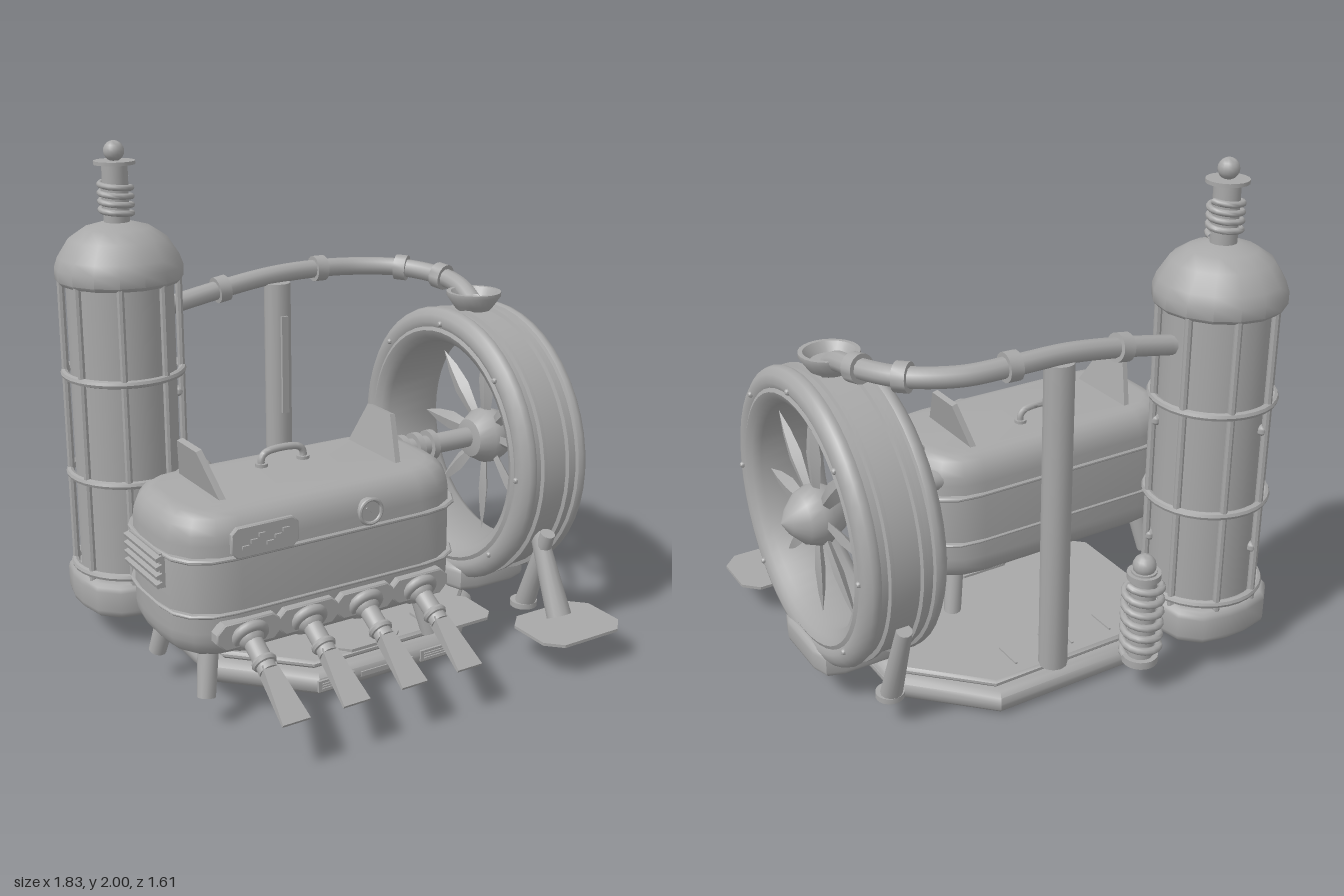
import * as THREE from 'three';
import { toCreasedNormals } from 'three/addons/utils/BufferGeometryUtils.js';

const V = (x, y, z) => new THREE.Vector3(x, y, z);

export function createModel() {
  const root = new THREE.Group();
  const grey = new THREE.MeshStandardMaterial({ color: 0xa8a8a8 });
  grey.name = 'plain grey';

  const add = (name, geo, x = 0, y = 0, z = 0, parent = root) => {
    const m = new THREE.Mesh(toCreasedNormals(geo, 0.75), grey);
    m.name = name;
    m.position.set(x, y, z);
    parent.add(m);
    return m;
  };
  const box = (name, w, h, d, x, y, z, p) => add(name, new THREE.BoxGeometry(w, h, d), x, y, z, p);
  const ball = (name, r, x, y, z, p) => add(name, new THREE.SphereGeometry(r, 16, 10), x, y, z, p);
  const cyl = (name, r, h, x, y, z, n = 20, p) => add(name, new THREE.CylinderGeometry(r, r, h, n), x, y, z, p);
  const ring = (name, r, t, x, y, z, p) => {
    const m = add(name, new THREE.TorusGeometry(r, t, 8, 32), x, y, z, p);
    m.rotation.x = Math.PI / 2;
    return m;
  };
  // Straight rod from a to b
  const rod = (name, a, b, r1, r2 = r1, n = 12) => {
    const m = add(name, new THREE.CylinderGeometry(r2, r1, a.distanceTo(b), n));
    m.position.copy(a).lerp(b, 0.5);
    m.quaternion.setFromUnitVectors(V(0, 1, 0), b.clone().sub(a).normalize());
    return m;
  };
  const tube = (name, pts, r, n = 48) =>
    add(name, new THREE.TubeGeometry(new THREE.CatmullRomCurve3(pts), n, r, 10));
  // Rounded or chamfered slab; its bottom rests at y
  const slab = (name, w, d, h, corner, bevel, x, y, z, { seg = 1, bt = bevel, bs = 3 } = {}) => {
    const a = w / 2 - bevel, b = d / 2 - bevel, c = corner, s = new THREE.Shape();
    s.moveTo(-a + c, -b).lineTo(a - c, -b);
    s.quadraticCurveTo(a, -b, a, -b + c).lineTo(a, b - c);
    s.quadraticCurveTo(a, b, a - c, b).lineTo(-a + c, b);
    s.quadraticCurveTo(-a, b, -a, b - c).lineTo(-a, -b + c);
    s.quadraticCurveTo(-a, -b, -a + c, -b);
    const g = new THREE.ExtrudeGeometry(s, {
      depth: h - 2 * bt, curveSegments: seg, bevelEnabled: bevel > 0,
      bevelSize: bevel, bevelThickness: bt, bevelSegments: bs,
    });
    g.rotateX(-Math.PI / 2).translate(0, bt, 0);
    return add(name, g, x, y, z);
  };
  const coil = (name, r, t, y0, y1, turns, x, z) => {
    const pts = [];
    for (let i = 0; i <= turns * 12; i++) {
      const a = (i / 12) * Math.PI * 2;
      pts.push(V(x + r * Math.cos(a), y0 + (y1 - y0) * i / (turns * 12), z + r * Math.sin(a)));
    }
    return tube(name, pts, t, turns * 16);
  };

  // Platform
  slab('platform', 1.23, 1.01, 0.1, 0.27, 0.045, 0, 0, -0.095);
  slab('platformTop', 1.14, 0.92, 0.03, 0.25, 0.01, 0, 0.1, -0.095, { bs: 1 });
  slab('floorPlate', 0.28, 0.24, 0.012, 0.04, 0, 0.36, 0.128, 0.3);
  slab('floorPlate', 0.28, 0.24, 0.012, 0.04, 0, -0.05, 0.128, 0.25);
  for (const x of [-0.245, 0.22]) {
    box('platformVent', 0.16, 0.045, 0.01, x, 0.05, 0.41);
    for (const y of [0.04, 0.05, 0.06]) box('ventSlat', 0.13, 0.005, 0.008, x, y, 0.416);
  }
  box('platformTrim', 0.24, 0.02, 0.008, -0.015, 0.05, 0.41);
  box('platformTrim', 0.008, 0.015, 0.38, 0.614, 0.05, -0.09);
  for (const x of [-0.16, 0.1]) for (const s of [-1, 1]) {
    box('floorRail', 0.008, 0.008, 0.12, x + s * 0.09, 0.133, -0.44);
  }

  // Tall tank with cage, cap and finial
  const tx = -0.64, tz = -0.56;
  slab('tankBase', 0.49, 0.49, 0.15, 0.17, 0.035, tx, 0.13, tz, { seg: 3 });
  cyl('tankBody', 0.21, 1.24, tx, 0.87, tz, 24);
  for (let i = 0; i < 8; i++) {
    const a = (i + 0.5) * Math.PI / 4;
    cyl('cageRod', 0.015, 1.24, tx + 0.228 * Math.cos(a), 0.87, tz + 0.228 * Math.sin(a), 8);
  }
  for (const y of [0.3, 0.69, 1.1]) ring('cageRing', 0.232, 0.016, tx, y, tz);
  for (const y of [0.5, 1.0]) {
    ball('tankStud', 0.022, tx + 0.2, y, tz + 0.08);
    ball('tankStud', 0.022, tx - 0.08, y, tz - 0.2);
  }
  const cap = [[0, 1.46], [0.235, 1.46], [0.249, 1.475], [0.249, 1.52], [0.235, 1.56], [0.19, 1.63], [0.13, 1.67], [0.06, 1.69], [0, 1.695]];
  add('tankCap', new THREE.LatheGeometry(cap.map(p => new THREE.Vector2(...p)), 16), tx, 0, tz);
  cyl('finialStem', 0.05, 0.24, tx, 1.8, tz);
  coil('finialCoil', 0.06, 0.012, 1.72, 1.85, 4, tx, tz);
  cyl('finialPlate', 0.08, 0.014, tx, 1.917, tz);
  ball('finialBall', 0.04, tx, 1.96, tz);

  // Spring post behind the platform
  const sx = -0.23, sz = -0.72;
  cyl('springRod', 0.05, 0.4, sx, 0.33, sz);
  cyl('springFoot', 0.07, 0.03, sx, 0.145, sz);
  coil('spring', 0.07, 0.015, 0.17, 0.48, 6, sx, sz);
  cyl('springPlate', 0.065, 0.025, sx, 0.51, sz);
  ball('springBall', 0.045, sx, 0.55, sz);

  // Upright post
  cyl('post', 0.056, 1.25, 0.06, 0.75, -0.555, 12);
  box('postStrip', 0.03, 0.42, 0.02, 0.06, 1.03, -0.5);

  // Engine body with seams
  const ex = -0.278, ez = 0.163;
  slab('engineBody', 1.21, 0.58, 0.55, 0.15, 0.085, ex, 0.28, ez, { seg: 4, bt: 0.11, bs: 5 });
  slab('upperSeam', 1.226, 0.596, 0.018, 0.2, 0.006, ex, 0.66, ez, { seg: 4, bs: 1 });
  slab('lowerSeam', 1.222, 0.592, 0.014, 0.2, 0.005, ex, 0.455, ez, { seg: 4, bs: 1 });
  // Leaning fins on top of the engine
  for (const s of [-1, 1]) {
    const f = new THREE.Shape([[-0.17, 0], [0.17, 0], [0.065, 0.175], [-0.09, 0.175]].map(p => new THREE.Vector2(...p)));
    const g = new THREE.ExtrudeGeometry(f, { depth: 0.024, bevelEnabled: false });
    g.translate(0, 0, -0.012).rotateY(-Math.PI / 2);
    const m = add('engineFin', g, ex + s * 0.37, 0.82, 0.14);
    m.rotation.z = -s * 0.24;
  }
  // Handle
  const hx = -0.275, hz = 0.068;
  tube('handle', [V(hx - 0.09, 0.82, hz), V(hx - 0.09, 0.86, hz), V(hx - 0.07, 0.882, hz), V(hx + 0.07, 0.882, hz), V(hx + 0.09, 0.86, hz), V(hx + 0.09, 0.82, hz)], 0.014);
  for (const s of [-1, 1]) cyl('handleFoot', 0.025, 0.015, hx + s * 0.09, 0.835, hz, 12);
  // Control panel and gauge
  slab('controlPanel', 0.265, 0.115, 0.02, 0.02, 0.004, -0.57, 0.728, 0.45, { bs: 1 }).rotation.x = Math.PI / 2;
  for (let i = 0; i < 6; i++) box('panelKey', 0.026, 0.014, 0.012, -0.65 + 0.032 * i, 0.71 + (i % 3) * 0.018, 0.471);
  cyl('gaugeFace', 0.046, 0.03, -0.135, 0.735, 0.455).rotation.x = Math.PI / 2;
  add('gaugeRim', new THREE.TorusGeometry(0.046, 0.008, 8, 28), -0.135, 0.735, 0.47);
  box('gaugeNeedle', 0.04, 0.006, 0.006, -0.14, 0.74, 0.472).rotation.z = -0.7;
  // Side vent
  box('sideVent', 0.02, 0.13, 0.26, -0.885, 0.61, ez);
  for (let i = 0; i < 4; i++) box('sideVentSlat', 0.025, 0.016, 0.28, -0.9, 0.56 + i * 0.033, ez).rotation.z = 0.3;
  // Engine legs
  for (const s of [-1, 1]) for (const z of [0.32, 0.0]) {
    rod('engineLeg', V(ex + s * 0.49, 0.12, z + (z > 0.1 ? 0.05 : -0.05)), V(ex + s * 0.45, 0.34, z), 0.034, 0.04);
  }

  // Four flared nozzles
  for (const x of [-0.643, -0.402, -0.16, 0.083]) {
    slab('nozzleBracket', 0.26, 0.1, 0.05, 0.03, 0.005, x, 0.39, 0.43, { bs: 1 }).rotation.x = Math.PI / 2;
    const n = new THREE.Group();
    n.name = 'nozzle';
    n.position.set(x, 0.385, 0.455);
    n.rotation.x = 0.51;
    root.add(n);
    add('nozzleFlange', new THREE.TorusGeometry(0.055, 0.02, 10, 28), 0, 0, 0.02, n);
    cyl('nozzleNeck', 0.036, 0.2, 0, 0, 0.08, 16, n).rotation.x = Math.PI / 2;
    ball('nozzleSocket', 0.052, 0, 0, 0.02, n);
    add('nozzleCollar', new THREE.TorusGeometry(0.032, 0.015, 8, 20), 0, 0, 0.14, n);
    const g = new THREE.BoxGeometry(1, 1, 0.23), p = g.attributes.position;
    for (let i = 0; i < p.count; i++) {
      const end = p.getZ(i) > 0;
      p.setXY(i, p.getX(i) * (end ? 0.108 : 0.055), p.getY(i) * (end ? 0.012 : 0.055));
    }
    add('nozzleFlare', g, 0, 0, 0.28, n);
  }

  // Ducted fan: ring housing turned about the x axis
  const fx = 0.688, fy = 0.73, fz = -0.028;
  const half = [[0.43, -0.12], [0.45, -0.15], [0.48, -0.165], [0.495, -0.158], [0.515, -0.168], [0.545, -0.16], [0.568, -0.14], [0.574, -0.12], [0.568, -0.105], [0.555, -0.1], [0.555, -0.075], [0.57, -0.07], [0.57, -0.055], [0.555, -0.05]];
  const prof = [...half, ...half.map(([r, h]) => [r, -h]).reverse(), half[0]];
  const duct = new THREE.LatheGeometry(prof.map(p => new THREE.Vector2(...p)), 48).rotateZ(-Math.PI / 2);
  add('fanDuct', duct, fx, fy, fz);
  for (let i = 0; i < 8; i++) {
    const a = (i + 0.5) * Math.PI / 4;
    for (const s of [-1, 1]) ball('ductRivet', 0.012, fx + s * 0.166, fy + 0.515 * Math.sin(a - 0.39), fz + 0.515 * Math.cos(a - 0.39));
  }
  const lens = [[0, 0.07], [0.024, 0.1], [0.04, 0.24], [0.026, 0.34], [0, 0.43]].map(p => new THREE.Vector2(...p));
  for (let i = 0; i < 8; i++) {
    const g = new THREE.LatheGeometry(lens, 4).scale(0.5, 1, 1);
    g.rotateY(0.3).rotateX(i * Math.PI / 4);
    add('fanBlade', g, 0.77, fy, fz);
  }
  const hub = [[0, -0.12], [0.08, -0.1], [0.115, -0.04], [0.118, 0], [0.1, 0.05], [0.05, 0.1], [0, 0.13]];
  add('fanHub', new THREE.LatheGeometry(hub.map(p => new THREE.Vector2(...p)), 20).rotateZ(-Math.PI / 2), 0.785, fy, fz);
  // Ribbed drive shaft
  rod('driveShaft', V(0.2, 0.735, -0.03), V(0.76, 0.735, -0.03), 0.042, 0.042, 16);
  for (const x of [0.34, 0.41, 0.48]) rod('shaftRib', V(x - 0.014, 0.735, -0.03), V(x + 0.014, 0.735, -0.03), 0.064, 0.064, 20);

  // Fan pedestal, legs and foot plate
  slab('fanPedestal', 0.37, 0.41, 0.105, 0.07, 0.025, 0.685, 0.13, -0.025, { seg: 2 });
  for (const s of [-1, 1]) {
    rod('fanLeg', V(0.686, 0.14, s * 0.4 - 0.02), V(0.686, 0.48, s * 0.52 - 0.02), 0.042, 0.03);
    cyl('fanLegFoot', 0.055, 0.022, 0.686, 0.132, s * 0.39 - 0.02);
  }
  rod('frontFanLeg', V(0.686, 0.16, 0.59), V(0.686, 0.47, 0.44), 0.05, 0.034);
  slab('footPlate', 0.385, 0.295, 0.012, 0.06, 0, 0.688, 0.136, 0.635);

  // Intake bowl and curved pipe with clamps
  const bowl = [[0, 1.29], [0.07, 1.29], [0.085, 1.31], [0.112, 1.35], [0.112, 1.365], [0.095, 1.365], [0.07, 1.33], [0, 1.325]];
  add('intakeBowl', new THREE.LatheGeometry(bowl.map(p => new THREE.Vector2(...p)), 24), 0.685, 0, -0.025);
  const path = [V(-0.43, 1.335, -0.56), V(-0.2, 1.375, -0.56), V(0.04, 1.405, -0.565), V(0.27, 1.41, -0.57), V(0.45, 1.405, -0.545), V(0.61, 1.4, -0.44), V(0.69, 1.385, -0.26), V(0.695, 1.36, -0.12), V(0.685, 1.32, -0.03)];
  tube('pipe', path, 0.038, 64);
  for (const i of [1, 3, 5, 6]) {
    const d = path[i + 1].clone().sub(path[i - 1]).normalize().multiplyScalar(0.025);
    rod('pipeClamp', path[i].clone().sub(d), path[i].clone().add(d), 0.054, 0.054, 18);
  }
  return root;
}
